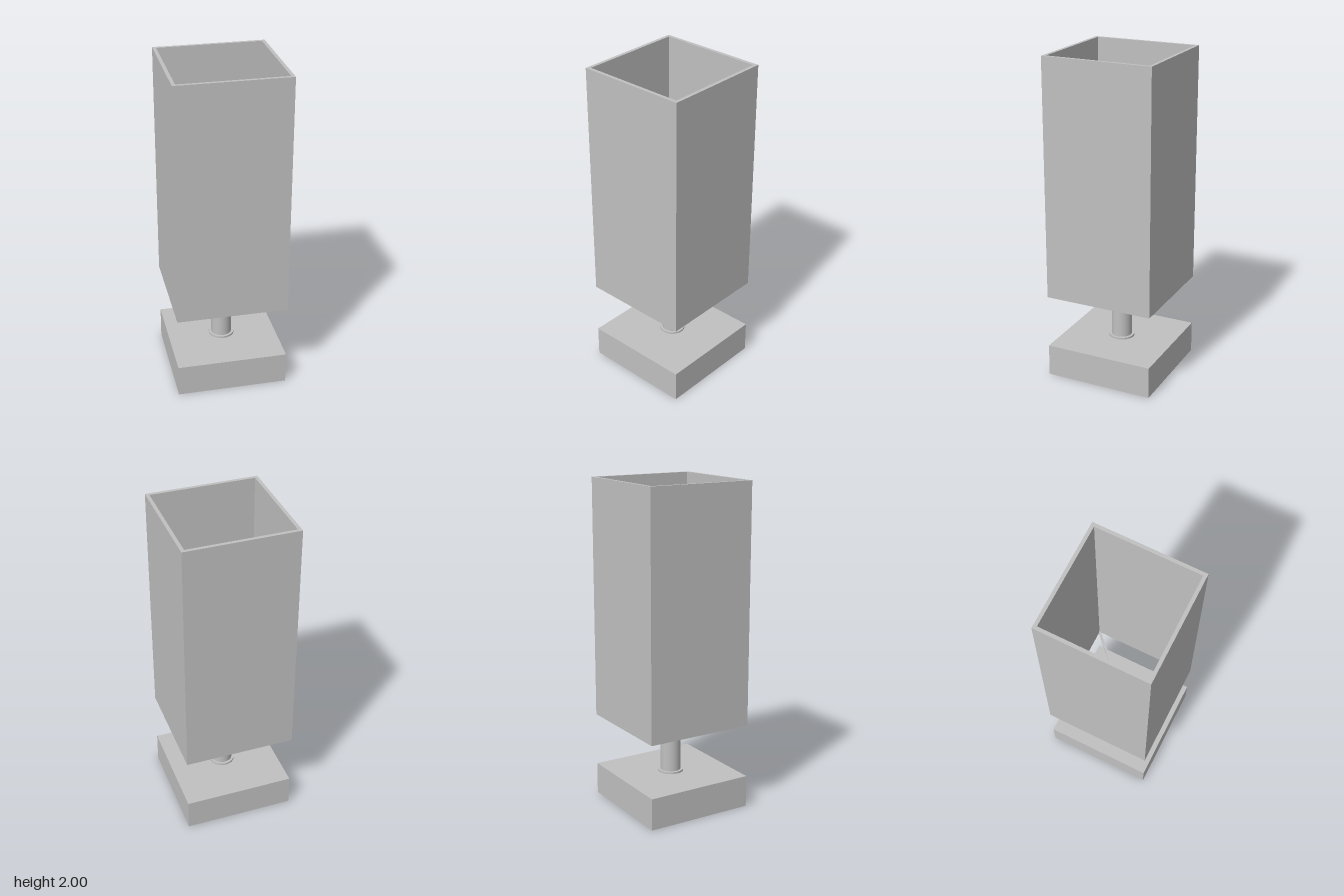
import * as THREE from 'three';

const grey = new THREE.MeshStandardMaterial({ color: 0xc0c0c0 });
grey.name = 'plain grey';

const HALF = 0.338;   // half width of base and shade
const INNER = 0.317;  // half width of the shade opening
const BASE_TOP = 0.197;
const SHADE_BOTTOM = 0.525;

function add(parent, name, geometry, x = 0, y = 0, z = 0) {
  const mesh = new THREE.Mesh(geometry, grey);
  mesh.name = name;
  mesh.position.set(x, y, z);
  parent.add(mesh);
  return mesh;
}

function square(Type, h) {
  const path = new Type();
  path.moveTo(-h, -h).lineTo(h, -h).lineTo(h, h).lineTo(-h, h).closePath();
  return path;
}

export function createModel() {
  const lamp = new THREE.Group();
  lamp.name = 'tableLamp';

  // Square block base
  add(lamp, 'base', new THREE.BoxGeometry(2 * HALF, BASE_TOP, 2 * HALF), 0, BASE_TOP / 2);

  // Collar and stem
  add(lamp, 'collar', new THREE.CylinderGeometry(0.079, 0.079, 0.012, 64), 0, BASE_TOP + 0.006);
  const stemHeight = SHADE_BOTTOM + 0.004 - BASE_TOP;
  add(lamp, 'stem', new THREE.CylinderGeometry(0.063, 0.063, stemHeight, 64), 0, BASE_TOP + stemHeight / 2);

  // Hollow square shade, open at both ends
  const outline = square(THREE.Shape, HALF);
  outline.holes.push(square(THREE.Path, INNER));
  const shade = new THREE.ExtrudeGeometry(outline, { depth: 2 - SHADE_BOTTOM, bevelEnabled: false });
  shade.rotateX(-Math.PI / 2);
  add(lamp, 'shade', shade, 0, SHADE_BOTTOM);

  // Diagonal struts carrying the shade on the stem
  for (const side of [-1, 1]) {
    const strut = add(lamp, 'shadeStrut', new THREE.BoxGeometry(0.91, 0.015, 0.015), 0, SHADE_BOTTOM + 0.0085);
    strut.rotation.y = side * Math.PI / 4;
  }
  return lamp;
}
